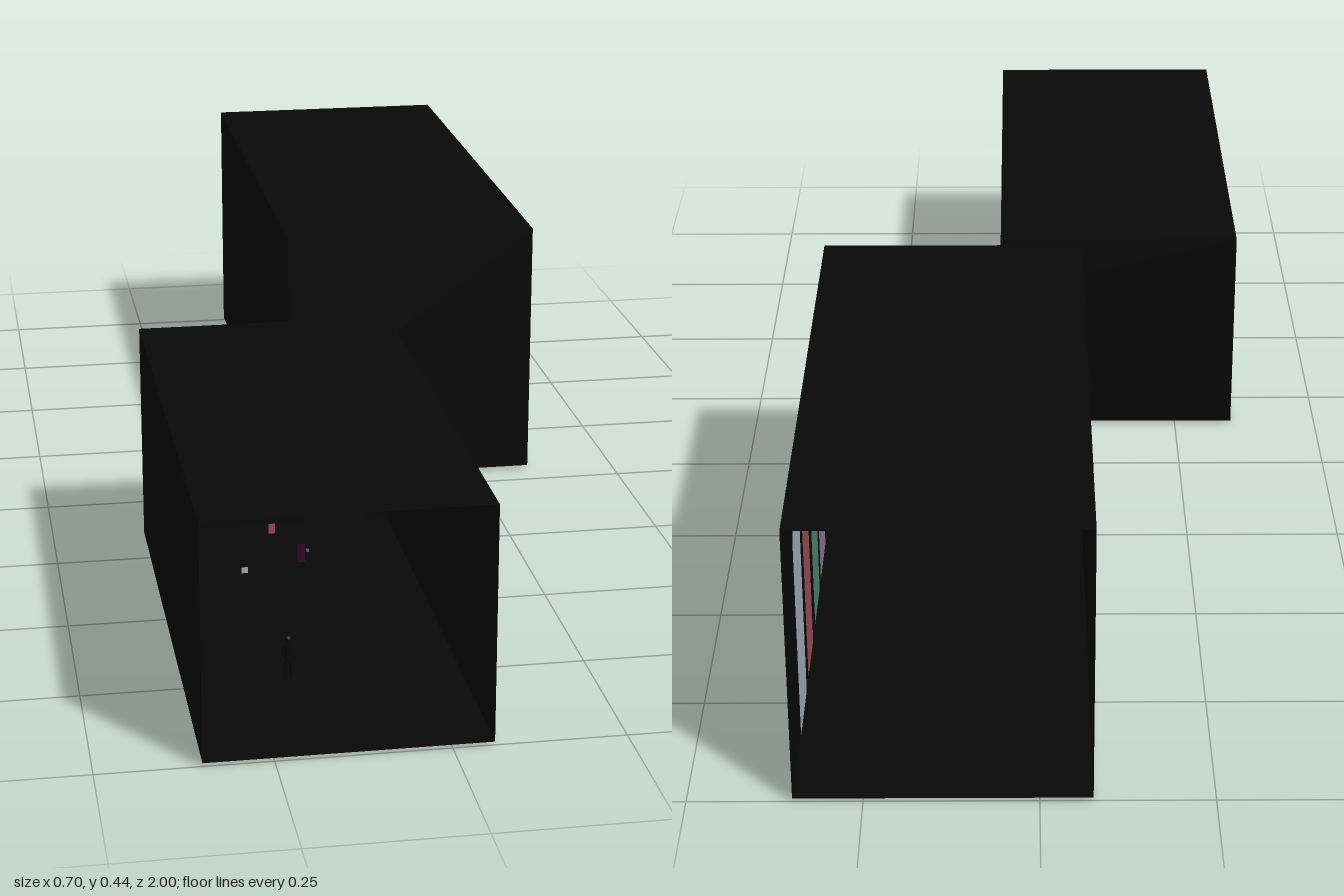
import * as THREE from 'three';

export function createModel() {
  const model = new THREE.Group();
  const paint = (name, color) => {
    const m = new THREE.MeshStandardMaterial({ color, side: THREE.DoubleSide });
    m.name = name;
    return m;
  };
  const black = paint('black wall', 0x080808);
  const outer = [
    paint('dusky purple', 0x604a64), paint('deep green', 0x0e3026),
    paint('maroon', 0x320c22), paint('slate blue', 0x364b5f),
  ];
  const inner = [
    paint('light mauve', 0x8a6f90), paint('soft green', 0x4a806c),
    paint('soft red', 0x944c54), paint('pale grey blue', 0x9caab8),
  ];

  const add = (parent, name, geometry, material) => {
    const mesh = new THREE.Mesh(geometry, material);
    mesh.name = name;
    parent.add(mesh);
    return mesh;
  };
  const group = (name) => {
    const g = new THREE.Group();
    g.name = name;
    model.add(g);
    return g;
  };
  const outline = (pts) => new THREE.ShapeGeometry(new THREE.Shape(pts.map(([x, y]) => new THREE.Vector2(x, y))));

  // Flat sheets: level (points are x, z), facing (points are x, y), upright between two x, z points
  const level = (g, name, pts, y) =>
    add(g, name, outline(pts.map(([x, z]) => [x, -z])).rotateX(-Math.PI / 2).translate(0, y, 0), black);
  const facing = (g, name, pts, z) => add(g, name, outline(pts).translate(0, 0, z), black);
  const upright = (g, name, [x0, z0], [x1, z1], y0, y1) => {
    const geo = new THREE.PlaneGeometry(Math.hypot(x1 - x0, z1 - z0), y1 - y0);
    geo.rotateY(-Math.atan2(z1 - z0, x1 - x0)).translate((x0 + x1) / 2, (y0 + y1) / 2, (z0 + z1) / 2);
    return add(g, name, geo, black);
  };
  const FLOOR = 0.005, DOOR = 0.293;

  // A tunnel-like room, open at one end, with a doorway in the other
  const room = (name, x0, x1, z0, z1, top, doorZ, d0, d1) => {
    const g = group(name);
    const plan = [[x0, z0], [x1, z0], [x1, z1], [x0, z1]];
    level(g, 'floor', plan, FLOOR);
    level(g, 'ceiling', plan, top);
    upright(g, 'rightWall', [x0, z0], [x0, z1], FLOOR, top);
    upright(g, 'leftWall', [x1, z0], [x1, z1], FLOOR, top);
    const pts = [[d1, FLOOR], [x1, FLOOR], [x1, top], [x0, top]];
    if (d0 > x0) pts.push([x0, FLOOR], [d0, FLOOR], [d0, DOOR]);
    else pts.push([x0, DOOR]);
    pts.push([d1, DOOR]);
    facing(g, 'doorwayWall', pts, doorZ);
    return g;
  };
  const frontRoom = room('frontRoom', -0.35, 0.06, 0.15, 1, 0.36, 0.15, -0.076, 0.019);
  const backRoom = room('backRoom', -0.076, 0.35, -1, -0.055, 0.44, -0.055, -0.076, 0.15);

  // Passage with one slanted wall
  const passage = group('passage');
  const plan = [[-0.076, 0.15], [0.019, 0.15], [0.15, -0.055], [-0.076, -0.055]];
  level(passage, 'floor', plan, FLOOR);
  level(passage, 'ceiling', plan, DOOR);
  upright(passage, 'straightWall', plan[0], plan[3], FLOOR, DOOR);
  upright(passage, 'slantedWall', plan[1], plan[2], FLOOR, DOOR);

  // Round-topped windows, one face outside and one inside
  [[-0.29, -0.405, 0.357], [-0.435, -0.542, 0.35], [-0.588, -0.692, 0.35], [-0.73, -0.848, 0.36]]
    .forEach(([z0, z1, top], i) => {
      const a = -z0, b = -z1, r = 0.042;
      const s = new THREE.Shape();
      s.moveTo(a, 0.008);
      s.lineTo(b, 0.008);
      s.lineTo(b, top - r);
      s.quadraticCurveTo(b, top, b - r, top);
      s.lineTo(a + r, top);
      s.quadraticCurveTo(a, top, a, top - r);
      const geo = new THREE.ShapeGeometry(s, 8).rotateY(Math.PI / 2);
      add(backRoom, 'windowOutside', geo, outer[i]).position.x = 0.352;
      add(backRoom, 'windowInside', geo, inner[i]).position.x = 0.348;
    });

  // Small standing figure
  const figure = new THREE.Group();
  figure.name = 'figure';
  figure.position.set(-0.195, 0, 0.75);
  frontRoom.add(figure);
  for (const s of [-1, 1]) {
    add(figure, 'leg', new THREE.CylinderGeometry(0.003, 0.002, 0.034, 8), black).position.set(s * 0.004, 0.017, 0);
    const arm = add(figure, 'arm', new THREE.CylinderGeometry(0.002, 0.0015, 0.026, 8), black);
    arm.position.set(s * 0.008, 0.046, 0);
    arm.rotation.z = s * 0.2;
  }
  add(figure, 'body', new THREE.CylinderGeometry(0.006, 0.005, 0.028, 10), black).position.y = 0.046;
  add(figure, 'head', new THREE.SphereGeometry(0.006, 12, 8), black).position.y = 0.068;

  // Little fluttering scraps of colour
  [[-0.221, 0.057, 0.01, 0.01, inner[3]], [-0.178, 0.124, 0.01, 0.016, inner[2]],
    [-0.132, 0.08, 0.012, 0.03, outer[2]], [-0.122, 0.084, 0.004, 0.006, inner[1]]]
    .forEach(([x, y, w, h, m]) => {
      add(frontRoom, 'scrap', new THREE.PlaneGeometry(w, h), m).position.set(x, y, 0.46);
    });

  return model;
}
